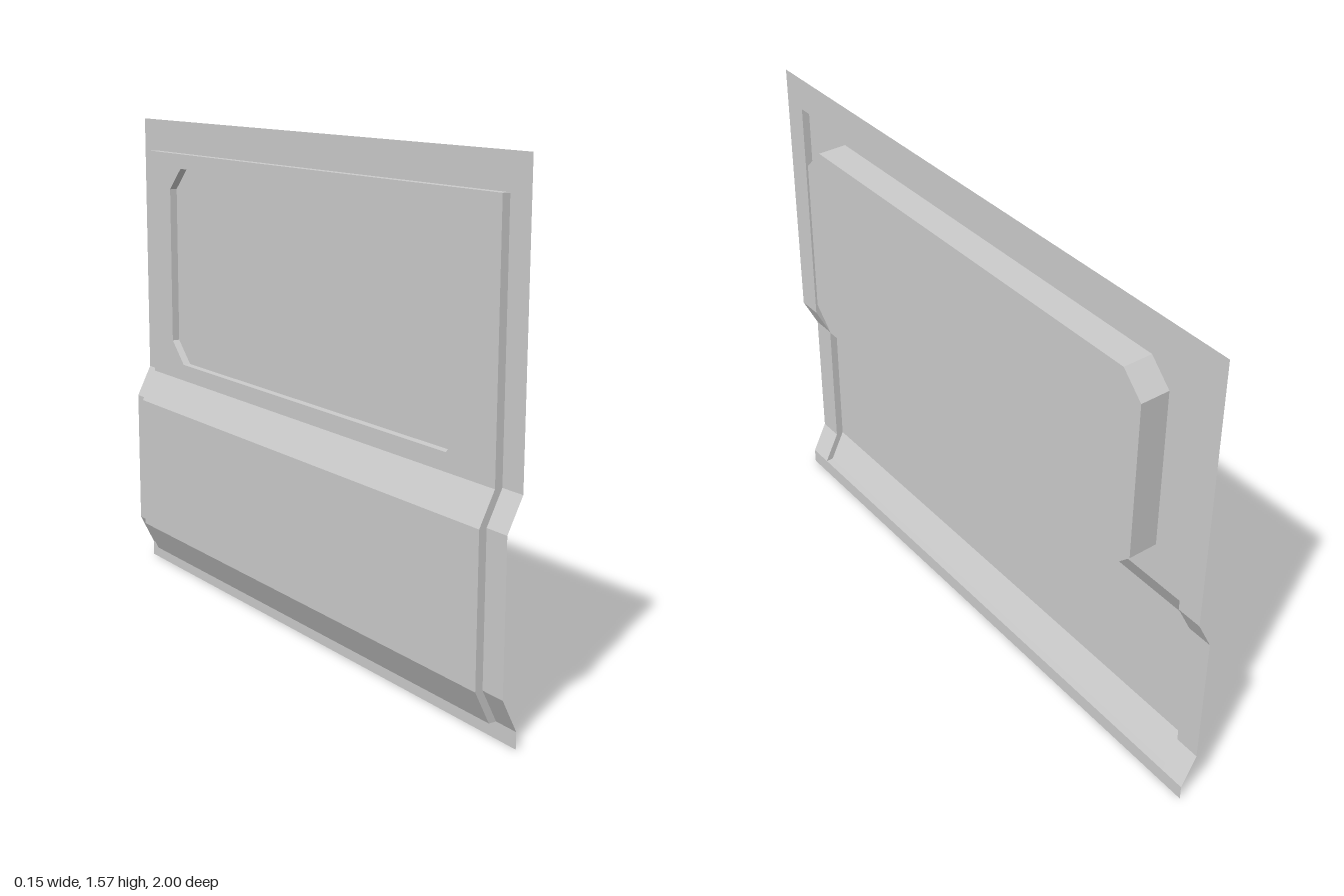
import * as THREE from 'three';
import { mergeGeometries } from 'three/addons/utils/BufferGeometryUtils.js';

const material = new THREE.MeshStandardMaterial({ color: 0xcccccc, flatShading: true, side: THREE.DoubleSide });

// bent sheet profile as [x, y]
const BOTTOM = 0.05, TOP = 1.465, HEIGHT = 1.57;
const HALF = 1, INNER = 0.918, DEPTH = 0.025;
const bend = [[0, BOTTOM], [-0.05, 0.15], [-0.05, 0.6], [0, 0.7]];
const inner = [...bend, [0, TOP]];
const outer = [[0, 0], ...bend, [0, HEIGHT]];

// ruled surface between two 3D polylines, facing +x when a is the +z side
function ruled(a, b) {
  const pos = [];
  for (let i = 0; i < a.length - 1; i++) {
    pos.push(...a[i], ...b[i], ...b[i + 1], ...a[i], ...b[i + 1], ...a[i + 1]);
  }
  const g = new THREE.BufferGeometry();
  g.setAttribute('position', new THREE.Float32BufferAttribute(pos, 3));
  g.computeVertexNormals();
  return g;
}

const line = (profile, z, dx = 0) => profile.map(([x, y]) => [x + dx, y, z]);
const strip = (profile, z0, z1, dx = 0) => ruled(line(profile, z1, dx), line(profile, z0, dx));

// flat shape drawn in (z, y), standing at the given x and facing +x
function plate(shape, x) {
  const g = new THREE.ShapeGeometry(shape).rotateY(Math.PI / 2).translate(x, 0, 0).toNonIndexed();
  g.deleteAttribute('uv');
  return g;
}

const toShape = (pts) => new THREE.Shape(pts.map(([z, y]) => new THREE.Vector2(z, y)));

function part(name, geometries) {
  const mesh = new THREE.Mesh(mergeGeometries(geometries), material);
  mesh.name = name;
  return mesh;
}

export function createModel() {
  const group = new THREE.Group();
  group.name = 'pressedPanel';

  // thin border following the bent profile
  group.add(part('border', [
    strip(outer, INNER, HALF),
    strip(outer, -HALF, -INNER),
    strip([[0, 0], [0, BOTTOM]], -INNER, INNER),
    strip([[0, TOP], [0, HEIGHT]], -INNER, INNER),
  ]));

  // octagonal outline of the raised block
  const w = 0.785, c = 0.073, y0 = 0.755, y1 = 1.417;
  const octagon = [
    [w - c, y0], [w, y0 + c], [w, y1 - c], [w - c, y1],
    [c - w, y1], [-w, y1 - c], [-w, y0 + c], [c - w, y0],
  ];

  // sunken sheet, opened where the raised block passes through
  const upper = toShape([[-INNER, 0.7], [INNER, 0.7], [INNER, TOP], [-INNER, TOP]]);
  upper.holes.push(toShape(octagon));
  group.add(part('sunkenSheet', [strip(bend, -INNER, INNER, -DEPTH), plate(upper, -DEPTH)]));

  // step between border and sunken sheet
  const step = [[-DEPTH, BOTTOM], [0, BOTTOM]];
  const topStep = [[0, TOP], [-DEPTH, TOP]];
  group.add(part('sheetStep', [
    ruled(line(inner, INNER, -DEPTH), line(inner, INNER)),
    ruled(line(inner, -INNER), line(inner, -INNER, -DEPTH)),
    strip(step, -INNER, INNER),
    strip(topStep, -INNER, INNER),
  ]));

  // raised block with a shallow pocket behind it
  const loop = [...octagon, octagon[0]];
  const ring = (x) => loop.map(([z, y]) => [x, y, z]);
  group.add(part('raisedBlock', [
    ruled(ring(0.07), ring(-DEPTH)),
    plate(toShape(octagon), 0.07),
    plate(toShape(octagon), 0),
  ]));

  return group;
}
